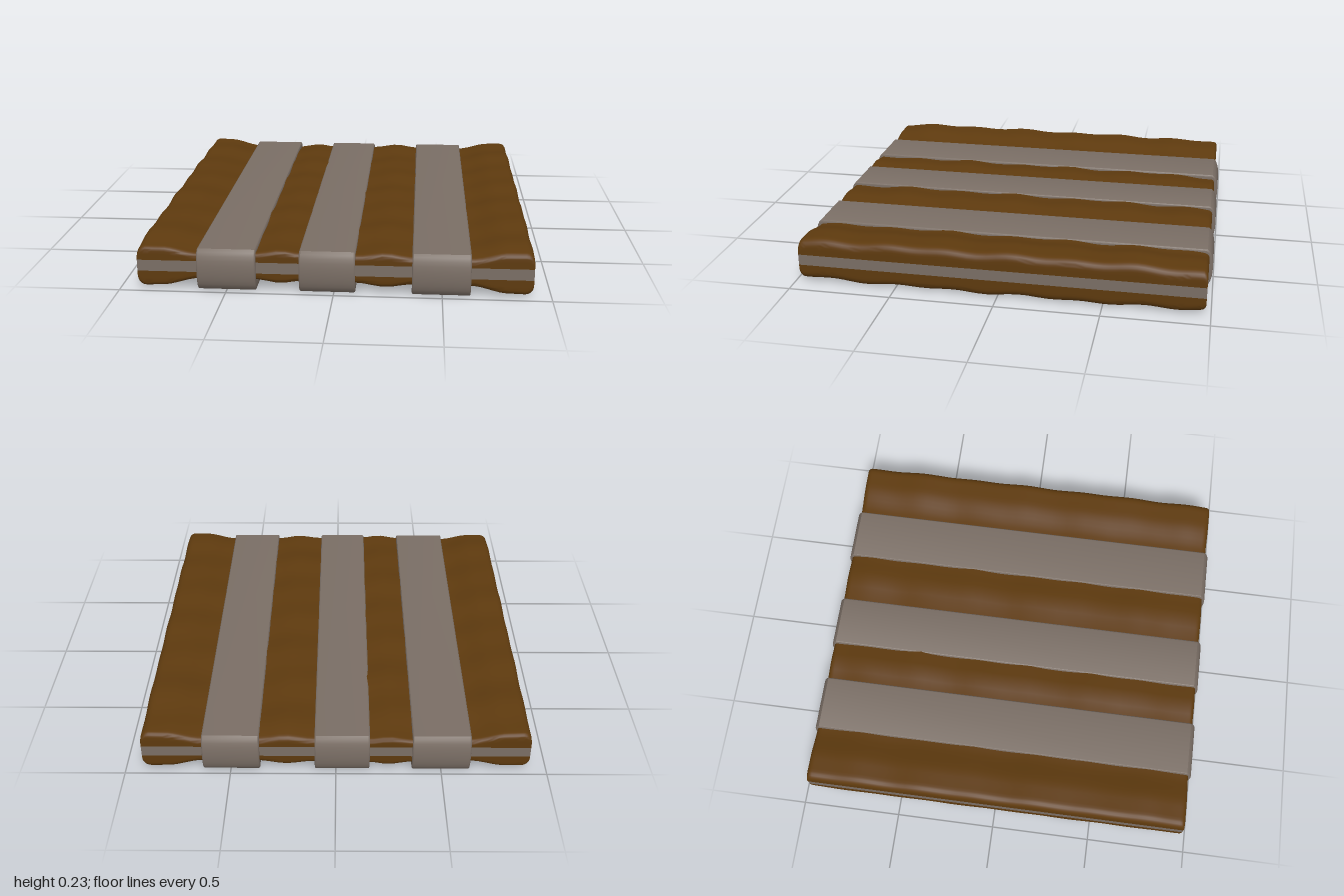
import * as THREE from 'three';
import { toCreasedNormals } from 'three/addons/utils/BufferGeometryUtils.js';

const HALF_X = 0.915, HALF_Z = 0.976, MID = 0.117, BAND = 0.027;

// Piecewise padding height above the middle plane, by x: puffy rims, pinched under the straps
const PROFILE = [[-0.93, 0.114], [-0.8, 0.112], [-0.63, 0.08], [-0.5, 0.072], [-0.36, 0.08], [-0.25, 0.095],
  [-0.16, 0.083], [-0.03, 0.072], [0.1, 0.08], [0.24, 0.097], [0.36, 0.081], [0.5, 0.072], [0.63, 0.08],
  [0.8, 0.112], [0.93, 0.114]];

function padHeight(x, z) {
  let i = 0;
  while (i < PROFILE.length - 2 && x > PROFILE[i + 1][0]) i++;
  const [x0, h0] = PROFILE[i], [x1, h1] = PROFILE[i + 1];
  const h = THREE.MathUtils.lerp(h0, h1, THREE.MathUtils.smoothstep(x, x0, x1));
  const lumps = 0.0045 * Math.sin(z * 21 + x * 3) + 0.003 * Math.sin(z * 12 - x * 5 + 1);
  return h + lumps - 0.004 - 0.012 * Math.abs(z) ** 6;
}

// Quarter-round drop close to an edge
function edgeDrop(d, r) {
  return d >= r ? 0 : r - Math.sqrt(Math.max(0, r * r - (r - d) ** 2));
}

// Half of the padding: a fine box whose top is puffed and rounded
function padGeometry() {
  const geo = new THREE.BoxGeometry(2, 1, 2, 64, 3, 64);
  const p = geo.attributes.position;
  for (let i = 0; i < p.count; i++) {
    const x = HALF_X * Math.sin(p.getX(i) * Math.PI / 2);
    const z = HALF_Z * Math.sin(p.getZ(i) * Math.PI / 2);
    const h = padHeight(x, z)
      - edgeDrop(HALF_X - Math.abs(x), 0.04) - edgeDrop(HALF_Z - Math.abs(z), 0.022);
    p.setXYZ(i, x, THREE.MathUtils.lerp(BAND, h, p.getY(i) + 0.5), z);
  }
  geo.deleteAttribute('uv');
  return toCreasedNormals(geo, 0.9);
}

// Strap wrapped round the pad: bulged end profile in the z-y plane, extruded along x
function strapGeometry(width) {
  const bevel = 0.008, shape = new THREE.Shape();
  const z = 0.962, h = 0.091;
  shape.moveTo(-z, -h);
  shape.lineTo(z, -h);
  shape.bezierCurveTo(0.996, -0.07, 0.996, 0.07, z, h);
  shape.lineTo(-z, h);
  shape.bezierCurveTo(-0.996, 0.07, -0.996, -0.07, -z, -h);
  const geo = new THREE.ExtrudeGeometry(shape, {
    depth: width - 2 * bevel, bevelThickness: bevel, bevelSize: bevel, bevelSegments: 3, curveSegments: 10
  });
  geo.translate(0, 0, bevel - width / 2);
  geo.rotateY(Math.PI / 2);
  return toCreasedNormals(geo, 0.7);
}

export function createModel() {
  const model = new THREE.Group();
  model.name = 'strappedPad';
  const brown = new THREE.MeshStandardMaterial({ name: 'brown padding', color: 0x5e3a0e });
  const grey = new THREE.MeshStandardMaterial({ name: 'warm grey strap', color: 0x7a6e65 });

  const add = (name, geo, mat, x, y) => {
    const mesh = new THREE.Mesh(geo, mat);
    mesh.name = name;
    mesh.position.set(x, y, 0);
    model.add(mesh);
    return mesh;
  };

  // Upper and lower padding
  const pad = padGeometry();
  add('upperPadding', pad, brown, 0, MID);
  add('lowerPadding', pad, brown, 0, MID).rotation.x = Math.PI;

  // Band between the two layers
  add('edgeBand', new THREE.BoxGeometry(HALF_X * 2, BAND * 2, HALF_Z * 2), grey, 0, MID);

  // Three wrapped straps
  [['rightStrap', -0.635, -0.36], ['middleStrap', -0.16, 0.1], ['leftStrap', 0.36, 0.63]]
    .forEach(([name, a, b]) => add(name, strapGeometry(b - a), grey, (a + b) / 2, 0.104));

  // Rest the pad on the ground
  const box = new THREE.Box3().setFromObject(model);
  model.children.forEach((m) => { m.position.y -= box.min.y; });
  return model;
}
